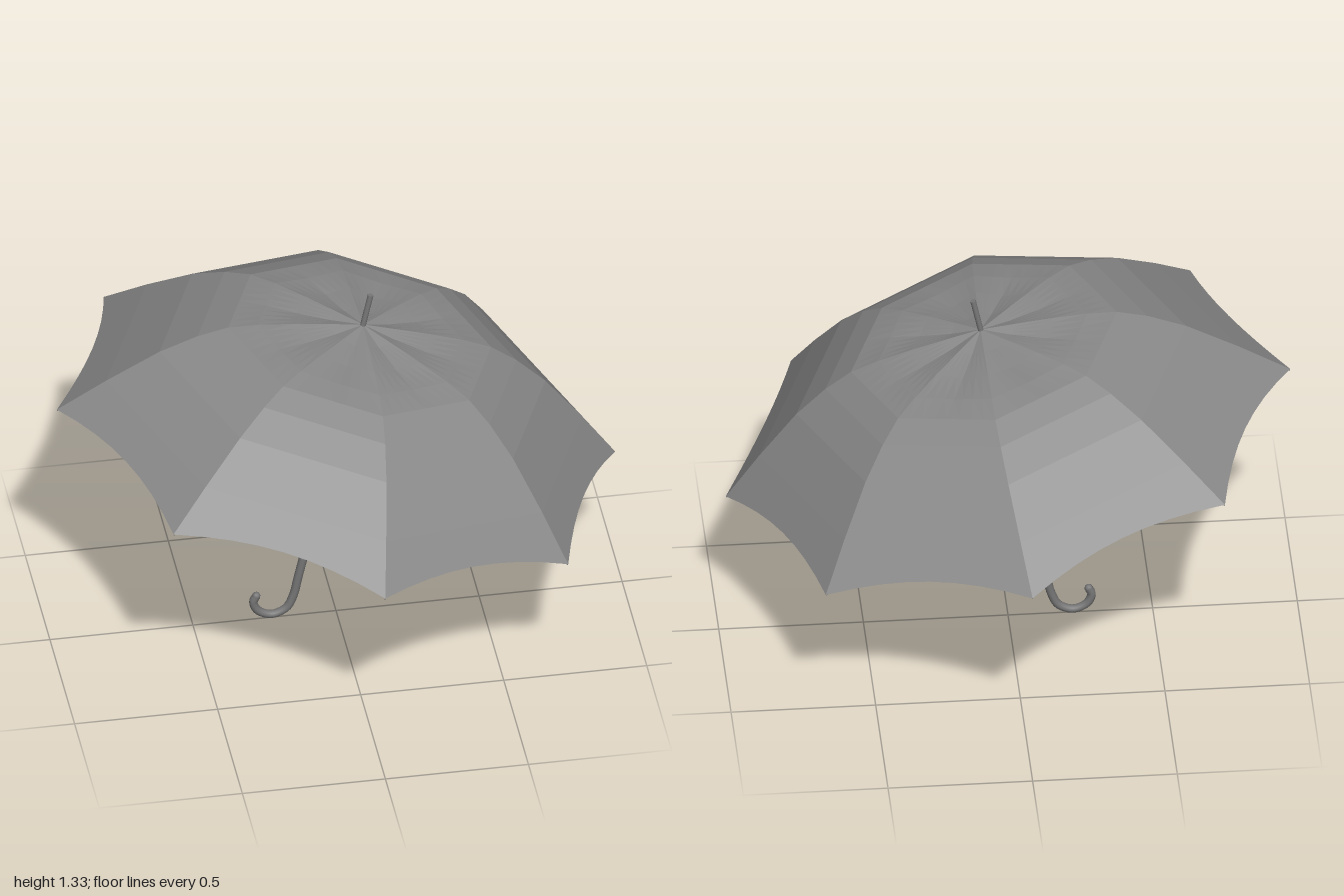
import * as THREE from 'three';

const TILT = -0.212;
const PANELS = 8;
const STEPS = 8;

// radius and height along one rib from crown to tip, and depth of the fold between ribs
const RIB = [
  [0, 0.45, 0], [0.12, 0.441, 0.012], [0.25, 0.43, 0.014], [0.37, 0.416, 0.006], [0.47, 0.396, 0],
  [0.57, 0.35, 0], [0.69, 0.273, 0], [0.85, 0.137, 0], [0.998, 0, 0]
];

const fabric = new THREE.MeshStandardMaterial({ color: 0x888888, flatShading: true, side: THREE.DoubleSide });
const metal = new THREE.MeshStandardMaterial({ color: 0x787878 });
const grip = new THREE.MeshStandardMaterial({ color: 0x747474 });

function addMesh(parent, name, geometry, material) {
  const mesh = new THREE.Mesh(geometry, material);
  mesh.name = name;
  parent.add(mesh);
  return mesh;
}

// round bar between two points
function addBar(parent, name, a, b, radius, sides = 8) {
  const path = new THREE.LineCurve3(a, b);
  const bar = addMesh(parent, name, new THREE.CylinderGeometry(radius, radius, path.getLength(), sides), metal);
  bar.position.copy(path.getPoint(0.5));
  bar.quaternion.setFromUnitVectors(new THREE.Vector3(0, 1, 0), b.clone().sub(a).normalize());
}

// fabric stretched between neighbouring ribs, folded near the crown, with a scalloped hem
function canopyGeometry() {
  const positions = [];
  const index = [];
  const around = PANELS * STEPS;
  const rings = RIB.length;
  for (let j = 0; j < rings; j++) {
    for (let i = 0; i < around; i++) {
      const panel = Math.floor(i / STEPS);
      const s = (i % STEPS) / STEPS;
      let [r, y, fold] = RIB[j];
      y -= fold * (1 - Math.abs(2 * s - 1));
      if (j === rings - 1) {
        const pull = 0.27 * 4 * s * (1 - s);
        r += (RIB[j - 1][0] - r) * pull;
        y += (RIB[j - 1][1] - y) * pull;
      }
      const a = (panel / PANELS) * Math.PI * 2;
      const b = ((panel + 1) / PANELS) * Math.PI * 2;
      positions.push(
        r * THREE.MathUtils.lerp(Math.cos(a), Math.cos(b), s),
        y,
        r * THREE.MathUtils.lerp(Math.sin(a), Math.sin(b), s)
      );
      if (j < rings - 1) {
        const n = (i + 1) % around;
        const p = j * around + i, q = j * around + n;
        if (j > 0) index.push(p, q, p + around);
        index.push(q, q + around, p + around);
      }
    }
  }
  const geometry = new THREE.BufferGeometry();
  geometry.setAttribute('position', new THREE.Float32BufferAttribute(positions, 3));
  geometry.setIndex(index);
  geometry.computeVertexNormals();
  return geometry;
}

export function createModel() {
  const root = new THREE.Group();
  root.name = 'umbrella';

  // leaning upper part, with its origin at the centre of the rim
  const top = new THREE.Group();
  top.name = 'leaningTop';
  top.position.y = 0.77;
  top.rotation.z = TILT;
  root.add(top);

  addMesh(top, 'canopy', canopyGeometry(), fabric);

  // shaft, pointed end and sliding runner
  const V = (x, y, z = 0) => new THREE.Vector3(x, y, z);
  addBar(top, 'shaft', V(0, -0.57), V(0, 0.46), 0.006, 10);
  addBar(top, 'ferrule', V(0, 0.44), V(0, 0.575), 0.01, 10);
  addBar(top, 'runner', V(0, 0.155), V(0, 0.19), 0.009, 10);

  // ribs under the fabric and struts from the runner
  for (let i = 0; i < PANELS; i++) {
    const spoke = new THREE.Group();
    spoke.name = 'spoke';
    spoke.rotation.y = (i / PANELS) * Math.PI * 2;
    top.add(spoke);
    for (let j = 0; j < RIB.length - 1; j++) {
      const [a, b] = [RIB[j], RIB[j + 1]];
      addBar(spoke, 'rib', V(a[0] - 0.002, a[1] - 0.004), V(b[0] - 0.002, b[1] - 0.004), 0.002, 5);
    }
    addBar(spoke, 'strut', V(0.006, 0.175), V(0.55, 0.354), 0.002, 5);
  }

  // hooked handle
  const hook = new THREE.CatmullRomCurve3([
    V(-0.115, 0.24), V(-0.133, 0.16), V(-0.15, 0.085), V(-0.175, 0.037),
    V(-0.225, 0.017), V(-0.272, 0.037), V(-0.289, 0.075), V(-0.279, 0.1)
  ]);
  addMesh(root, 'handle', new THREE.TubeGeometry(hook, 40, 0.015, 10), grip);

  // closed ends of the handle
  for (const t of [0, 1]) {
    const cap = addMesh(root, 'handleEnd', new THREE.SphereGeometry(0.015, 10, 8), grip);
    cap.position.copy(hook.getPoint(t));
    cap.scale.setScalar(0.98);
  }
  return root;
}
